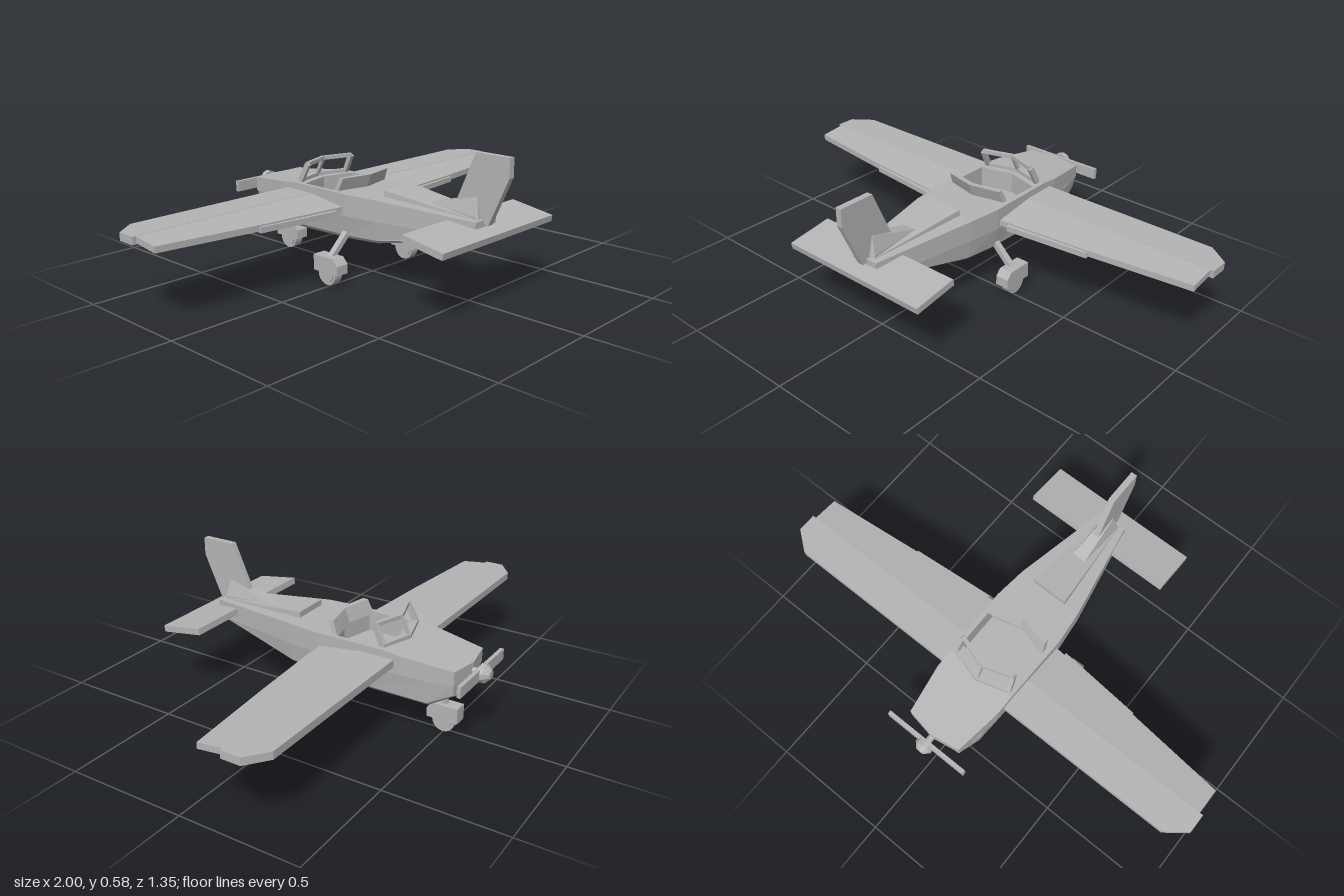
import * as THREE from 'three';
import { ConvexGeometry } from 'three/addons/geometries/ConvexGeometry.js';

const grey = new THREE.MeshStandardMaterial({ color: 0xb4b4b4, flatShading: true });
grey.name = 'paint grey';

const v = (x, y, z) => new THREE.Vector3(x, y, z);

function add(parent, name, geometry) {
  const mesh = new THREE.Mesh(geometry, grey);
  mesh.name = name;
  parent.add(mesh);
  return mesh;
}

// Plan outline [x, z] raised from y0 to y1, with an optional opening
function slab(points, y0, y1, hole) {
  const shape = new THREE.Shape(points.map(([x, z]) => new THREE.Vector2(x, -z)));
  if (hole) shape.holes.push(new THREE.Path(hole.map(([x, z]) => new THREE.Vector2(x, -z))));
  const g = new THREE.ExtrudeGeometry(shape, { depth: y1 - y0, bevelEnabled: false });
  return g.rotateX(-Math.PI / 2).translate(0, y0, 0);
}

// Side outline [z, y] with a width across x
function profile(points, width) {
  const shape = new THREE.Shape(points.map(([z, y]) => new THREE.Vector2(z, y)));
  const g = new THREE.ExtrudeGeometry(shape, { depth: width, bevelEnabled: false });
  return g.rotateY(-Math.PI / 2).translate(width / 2, 0, 0);
}

function moveY(g, rule) {
  const p = g.attributes.position;
  for (let i = 0; i < p.count; i++) p.setY(i, rule(p.getX(i), p.getY(i), p.getZ(i)));
  g.computeVertexNormals();
  return g;
}

// Square bar between two points
function bar(parent, name, a, b, w, d = w) {
  const mesh = add(parent, name, new THREE.BoxGeometry(w, d, a.distanceTo(b)));
  mesh.position.copy(a).add(b).multiplyScalar(0.5);
  mesh.lookAt(b);
  return mesh;
}

// Closed loft through rings with equal point counts, listed from nose to tail
function loft(rings) {
  const n = rings[0].length, index = [];
  for (let r = 0; r < rings.length - 1; r++)
    for (let i = 0; i < n; i++) {
      const a = r * n + i, b = r * n + (i + 1) % n;
      index.push(a, b, a + n, b, b + n, a + n);
    }
  const last = (rings.length - 1) * n;
  for (let i = 1; i < n - 1; i++) index.push(0, i + 1, i, last, last + i, last + i + 1);
  const g = new THREE.BufferGeometry();
  g.setAttribute('position', new THREE.Float32BufferAttribute(rings.flat(2), 3));
  g.setIndex(index);
  const flat = g.toNonIndexed();
  flat.computeVertexNormals();
  return flat;
}

function addFuselage(plane) {
  // Lower hull: z, top half width, bottom half width, bottom height, chamfer height
  const stations = [
    [-0.58, 0.12, 0.095, 0.215, 0.225], [-0.48, 0.142, 0.115, 0.158, 0.172],
    [-0.25, 0.155, 0.125, 0.162, 0.178], [0, 0.158, 0.125, 0.168, 0.184],
    [0.14, 0.143, 0.115, 0.176, 0.19], [0.57, 0.06, 0.045, 0.258, 0.264],
  ];
  add(plane, 'lower hull', loft(stations.map(([z, w, b, y, c]) => [
    [w, 0.27, z], [-w, 0.27, z], [-b - 0.017, c, z], [-b, y, z], [b, y, z], [b + 0.017, c, z],
  ])));

  // Upper body in three lengths, the middle one open for the cockpit
  const top = (x, y, z) => {
    if (y < 0.3) return y;
    if (z < -0.3) return 0.357 + (z + 0.3) * 0.105;
    return z > 0.14 ? 0.357 - (z - 0.14) * 0.055 : 0.357;
  };
  add(plane, 'nose cowling', moveY(slab([[-0.155, -0.3], [-0.154, -0.38], [-0.123, -0.583],
    [0, -0.604], [0.123, -0.583], [0.154, -0.38], [0.155, -0.3]], 0.27, 0.357), top));
  add(plane, 'cockpit tub', slab([[-0.155, -0.3], [0.155, -0.3], [0.16, 0], [0.145, 0.14],
    [-0.145, 0.14], [-0.16, 0]], 0.27, 0.357, [[0, -0.285], [-0.138, -0.25], [-0.138, -0.065],
    [0, -0.03], [0.138, -0.065], [0.138, -0.25]]));
  add(plane, 'rear deck', moveY(slab([[-0.145, 0.14], [0.145, 0.14], [0.062, 0.57],
    [-0.062, 0.57]], 0.27, 0.357), top));
  add(plane, 'spine fairing', new ConvexGeometry([-1, 1].flatMap(s => [
    v(s * 0.08, 0.345, 0.135), v(s * 0.078, 0.382, 0.135),
    v(s * 0.04, 0.32, 0.555), v(s * 0.038, 0.336, 0.555)])));
}

function addCockpit(plane) {
  // Windscreen frame of two raked panes, and the solid screen behind the seat
  const screen = new THREE.Group();
  screen.name = 'windscreen frame';
  plane.add(screen);
  const lowMid = v(0, 0.362, -0.325), topMid = v(0, 0.438, -0.288);
  bar(screen, 'centre post', lowMid, topMid, 0.014);
  for (const s of [-1, 1]) {
    const low = v(s * 0.132, 0.362, -0.285), top = v(s * 0.126, 0.438, -0.246);
    bar(screen, 'lower rail', lowMid, low, 0.018);
    bar(screen, 'upper rail', topMid, top, 0.016);
    bar(screen, 'side post', low, top, 0.016, 0.022);
    const corners = [];
    for (const dz of [0, 0.022])
      corners.push(v(0, 0.35, -0.053 + dz), v(s * 0.138, 0.35, -0.085 + dz),
        v(0, 0.41, -0.032 + dz), v(s * 0.13, 0.41, -0.06 + dz));
    add(plane, 'rear screen', new ConvexGeometry(corners));
  }
}

function addWings(plane) {
  const slope = (x, y, z) => y - (z + 0.2) * 0.125;
  for (const s of [-1, 1]) {
    const wing = new THREE.Group();
    wing.name = s > 0 ? 'left wing' : 'right wing';
    plane.add(wing);
    const side = pts => pts.map(([x, z]) => [x * s, z]);
    add(wing, 'front wing panel', slab(side([[0.15, -0.345], [0.915, -0.345], [1, -0.28],
      [1, -0.2], [0.15, -0.2]]), 0.297, 0.328));
    add(wing, 'rear wing panel', moveY(slab(side([[0.15, -0.2], [0.985, -0.2],
      [0.985, -0.09], [0.56, -0.046], [0.15, -0.015]]), 0.302, 0.327), slope));
    add(wing, 'flap', moveY(slab(side([[0.2, -0.12], [0.56, -0.12], [0.56, -0.038],
      [0.2, -0.006]]), 0.297, 0.32), slope));
  }
}

function addTail(plane) {
  add(plane, 'tailplane', profile([[0.455, 0.326], [0.642, 0.296], [0.637, 0.27],
    [0.45, 0.3]], 0.67));
  add(plane, 'tail fin', profile([[0.675, 0.58], [0.525, 0.58], [0.44, 0.385],
    [0.47, 0.325], [0.59, 0.315], [0.675, 0.505]], 0.026));
  // Fillet at the foot of the fin, narrowing upward
  add(plane, 'fin fillet', new ConvexGeometry([-1, 1].flatMap(s => [
    v(s * 0.03, 0.358, 0.325), v(s * 0.03, 0.34, 0.325), v(s * 0.016, 0.415, 0.54),
    v(s * 0.036, 0.32, 0.56), v(s * 0.036, 0.345, 0.55), v(s * 0.016, 0.415, 0.53)])));
}

function addPropeller(plane) {
  const prop = new THREE.Group();
  prop.name = 'propeller';
  prop.position.y = 0.289;
  plane.add(prop);
  const parts = [['shaft', 0.014, 0.014, 0.05, -0.612], ['hub', 0.038, 0.038, 0.022, -0.646],
    ['spinner', 0.018, 0.036, 0.02, -0.667]];
  for (const [name, front, back, len, z] of parts) {
    const g = new THREE.CylinderGeometry(front, back, len, 10).rotateX(-Math.PI / 2);
    add(prop, name, g).position.z = z;
  }
  add(prop, 'blades', new THREE.BoxGeometry(0.38, 0.046, 0.016)).position.z = -0.635;
}

function addGear(plane) {
  const places = [['left main gear', 0.23, -0.015, v(0.125, 0.205, -0.015)],
    ['right main gear', -0.23, -0.015, v(-0.125, 0.205, -0.015)],
    ['nose gear', 0, -0.498, v(0, 0.18, -0.478)]];
  for (const [name, x, z, mount] of places) {
    const gear = new THREE.Group();
    gear.name = name;
    plane.add(gear);
    bar(gear, 'strut', mount, v(x, 0.105, z), 0.025, 0.022);
    const pod = add(gear, 'wheel pod', profile([[0.045, 0.118], [0.068, 0.092], [0.068, 0.053],
      [-0.064, 0.053], [-0.064, 0.118]], 0.058));
    pod.position.set(x, 0, z);
    const tyre = add(gear, 'wheel', new THREE.CylinderGeometry(0.047, 0.047, 0.038, 20).rotateZ(Math.PI / 2));
    tyre.position.set(x, 0.047, z);
    const hub = add(gear, 'wheel hub', new THREE.CylinderGeometry(0.036, 0.036, 0.048, 20).rotateZ(Math.PI / 2));
    hub.position.set(x, 0.047, z);
  }
}

export function createModel() {
  const plane = new THREE.Group();
  plane.name = 'light aeroplane';
  addFuselage(plane);
  addCockpit(plane);
  addWings(plane);
  addTail(plane);
  addPropeller(plane);
  addGear(plane);
  return plane;
}
